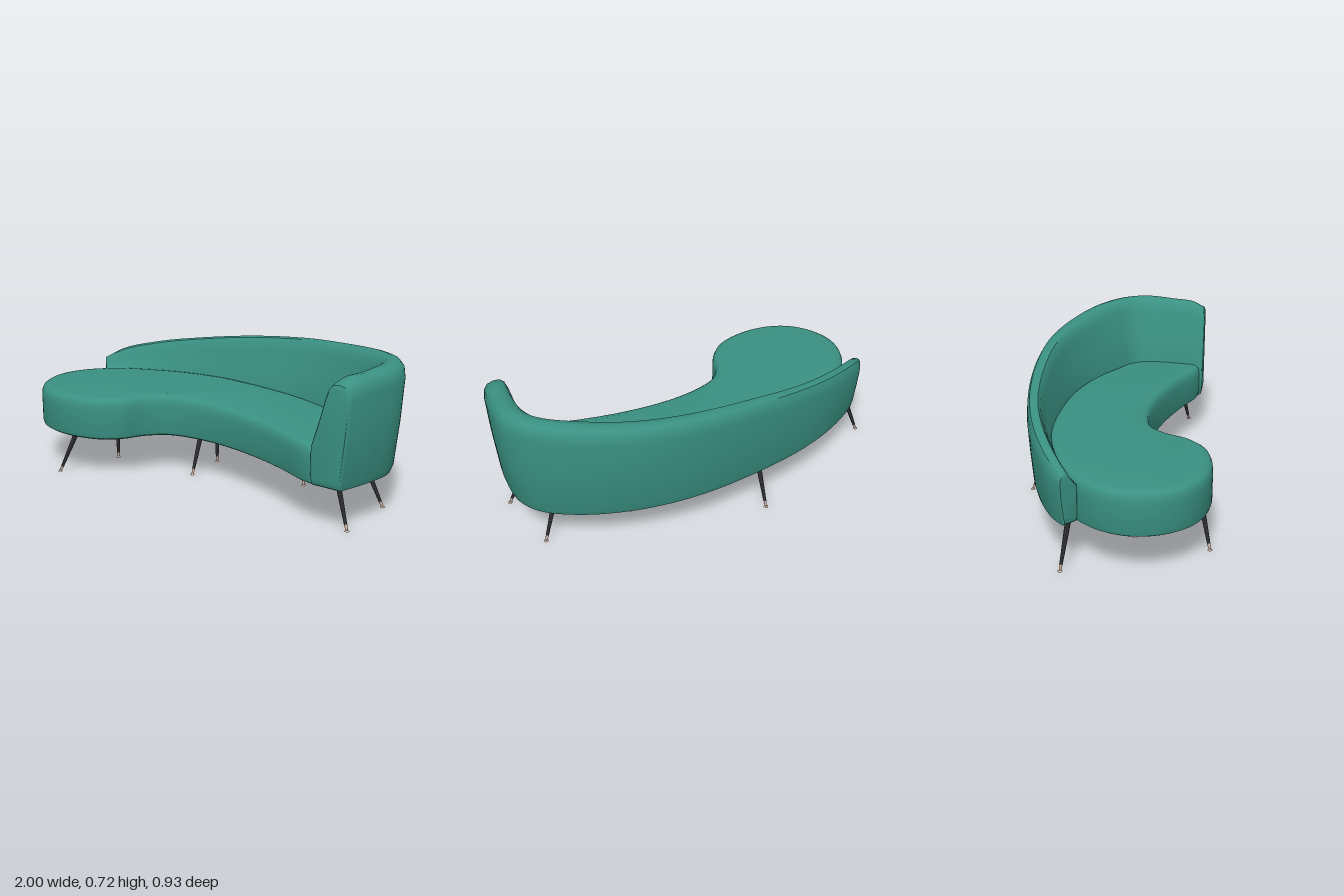
import * as THREE from 'three';
import { toCreasedNormals } from 'three/addons/utils/BufferGeometryUtils.js';

const fabric = new THREE.MeshStandardMaterial({ color: 0x3a9182 });
fabric.name = 'teal fabric';
const black = new THREE.MeshStandardMaterial({ color: 0x2a2a2d });
black.name = 'black lacquer';
const metal = new THREE.MeshStandardMaterial({ color: 0xc8ada0 });
metal.name = 'rose metal';

const V = (x, y, z) => new THREE.Vector3(x, y, z);

// Skin closed rings into a solid; the 2D contour triangulates both end caps
function loft(rings, contour) {
  const n = rings[0].length, last = (rings.length - 1) * n, index = [];
  for (let i = 0; i < rings.length - 1; i++) {
    for (let j = 0; j < n; j++) {
      const k = (j + 1) % n, a = i * n, b = a + n;
      index.push(a + j, b + j, b + k, a + j, b + k, a + k);
    }
  }
  for (const [a, b, c] of THREE.ShapeUtils.triangulateShape(contour, [])) {
    index.push(a, b, c, last + a, last + c, last + b);
  }
  const geo = new THREE.BufferGeometry().setFromPoints(rings.flat());
  geo.setIndex(index);
  return toCreasedNormals(geo, 0.7);
}

// Kidney-shaped seat cushion with softened rims
function makeSeat() {
  const outline = [
    [-1, 0.1], [-0.98, 0.24], [-0.9, 0.36], [-0.78, 0.43], [-0.63, 0.452], [-0.47, 0.42],
    [-0.37, 0.34], [-0.31, 0.23], [-0.23, 0.155], [-0.08, 0.125], [0.1, 0.135], [0.3, 0.18],
    [0.5, 0.25], [0.7, 0.335], [0.78, 0.33], [0.82, 0.22], [0.82, 0.04], [0.76, -0.06],
    [0.65, -0.13], [0.46, -0.23], [0.23, -0.3], [-0.1, -0.335], [-0.38, -0.325],
    [-0.6, -0.27], [-0.82, -0.17], [-0.95, -0.04],
  ];
  const curve = new THREE.CatmullRomCurve3(outline.map(([x, z]) => V(x, 0, z)), true);
  const count = 130;
  // [height, inset], from the top down
  const levels = [[0.412, 0.045], [0.408, 0.025], [0.398, 0.01], [0.38, 0.002], [0.35, 0],
    [0.225, 0], [0.208, 0.005], [0.2, 0.018]];
  const rings = levels.map(([y, inset]) => {
    const ring = [];
    for (let i = 0; i < count; i++) {
      const p = curve.getPoint(i / count), t = curve.getTangent(i / count);
      const drop = y > 0.3 ? Math.max(0, p.x + 0.2) * 0.032 : 0;
      ring.push(V(p.x + t.z * inset, y - drop, p.z - t.x * inset));
    }
    return ring;
  });
  return loft(rings, rings[0].map((p) => new THREE.Vector2(p.x, -p.z)));
}

// Backrest section: [0 = inner edge .. 1 = outer edge, height]
function backProfile(h) {
  const r = Math.min(0.06, (h - 0.38) * 0.5);
  return [
    [0.04, 0.205], [0, 0.24], [0, 0.38], [0.2, 0.38 + 0.5 * (h - 0.38 - r)], [0.38, h - r],
    [0.45, h - 0.4 * r], [0.55, h - 0.08 * r], [0.72, h], [0.88, h - 0.15 * r],
    [0.97, h - 0.55 * r], [1, h - 1.3 * r], [0.93, 0.21 + (h - 0.21) * 0.45],
    [0.82, 0.235], [0.76, 0.205],
  ];
}

// Curved backrest that rises and wraps round into the arm
function makeBack() {
  // inner x, z; outer x, z; height
  const stations = [
    [-0.87, -0.125, -0.94, -0.195, 0.455], [-0.8, -0.165, -0.87, -0.26, 0.5],
    [-0.6, -0.25, -0.68, -0.35, 0.55], [-0.38, -0.305, -0.43, -0.415, 0.59],
    [-0.1, -0.31, -0.1, -0.45, 0.635], [0.23, -0.28, 0.25, -0.44, 0.67],
    [0.45, -0.21, 0.55, -0.37, 0.69], [0.65, -0.11, 0.79, -0.25, 0.712],
    [0.77, -0.02, 0.94, -0.11, 0.72], [0.785, 0.06, 0.995, 0.02, 0.72],
    [0.77, 0.2, 0.98, 0.17, 0.712], [0.745, 0.31, 0.95, 0.29, 0.705],
    [0.735, 0.34, 0.932, 0.345, 0.685],
  ];
  const inner = new THREE.CatmullRomCurve3(stations.map((s) => V(s[0], s[4], s[1])));
  const outer = new THREE.CatmullRomCurve3(stations.map((s) => V(s[2], s[4], s[3])));
  const steps = 72, rings = [];
  for (let i = 0; i <= steps; i++) {
    const a = inner.getPoint(i / steps), b = outer.getPoint(i / steps);
    rings.push(backProfile(a.y).map(([s, y]) =>
      V(a.x + (b.x - a.x) * s, y, a.z + (b.z - a.z) * s)));
  }
  // Rounded ends: slightly smaller rings pushed outwards
  const endRing = (ring, dir, scale, push) => {
    const c = ring.reduce((sum, p) => sum.add(p), V(0, 0, 0)).divideScalar(ring.length);
    return ring.map((p) => p.clone().sub(c).multiplyScalar(scale).add(c).addScaledVector(dir, push));
  };
  const first = rings[0], final = rings[steps];
  const startDir = V(-0.8, 0, 0.6), finalDir = V(-0.1, 0, 1).normalize();
  rings.unshift(endRing(first, startDir, 0.88, 0.014), endRing(first, startDir, 0.96, 0.009));
  rings.push(endRing(final, finalDir, 0.975, 0.01), endRing(final, finalDir, 0.9, 0.016));
  return loft(rings, backProfile(0.6).map(([s, y]) => new THREE.Vector2(-s * 0.2, y)));
}

// Tapered splayed leg with a metal ferrule and glide
function makeLeg(topX, topZ, footX, footZ) {
  const leg = new THREE.Group();
  leg.name = 'leg';
  const foot = V(footX, 0, footZ), top = V(topX, 0.215, topZ);
  const rod = (name, material, t0, t1, r0, r1) => {
    const a = foot.clone().lerp(top, t0), b = foot.clone().lerp(top, t1);
    const mesh = new THREE.Mesh(new THREE.CylinderGeometry(r1, r0, a.distanceTo(b), 16), material);
    mesh.name = name;
    mesh.position.copy(a).add(b).multiplyScalar(0.5);
    mesh.quaternion.setFromUnitVectors(V(0, 1, 0), b.sub(a).normalize());
    leg.add(mesh);
  };
  rod('legShaft', black, 0.13, 1, 0.0075, 0.0135);
  rod('legFerrule', metal, 0.025, 0.13, 0.0055, 0.0075);
  const glide = new THREE.Mesh(new THREE.CylinderGeometry(0.006, 0.0115, 0.007, 16), metal);
  glide.name = 'legGlide';
  glide.position.set(footX, 0.0035, footZ);
  leg.add(glide);
  return leg;
}

export function createModel() {
  const sofa = new THREE.Group();
  sofa.name = 'curvedSofa';
  const add = (name, geometry) => {
    const mesh = new THREE.Mesh(geometry, fabric);
    mesh.name = name;
    sofa.add(mesh);
  };
  add('seat', makeSeat());
  add('backrest', makeBack());

  // top x, z; foot x, z
  const legs = [
    [-0.88, -0.16, -0.955, -0.19], [-0.62, 0.4, -0.7, 0.45], [-0.61, 0.105, -0.61, 0.105],
    [-0.16, -0.36, -0.15, -0.453], [-0.13, 0, -0.12, 0.095], [-0.145, -0.15, -0.145, -0.15],
    [0.42, -0.105, 0.42, -0.105], [0.81, 0.24, 0.89, 0.28], [0.79, -0.04, 0.875, -0.075],
  ];
  for (const l of legs) sofa.add(makeLeg(...l));
  return sofa;
}
